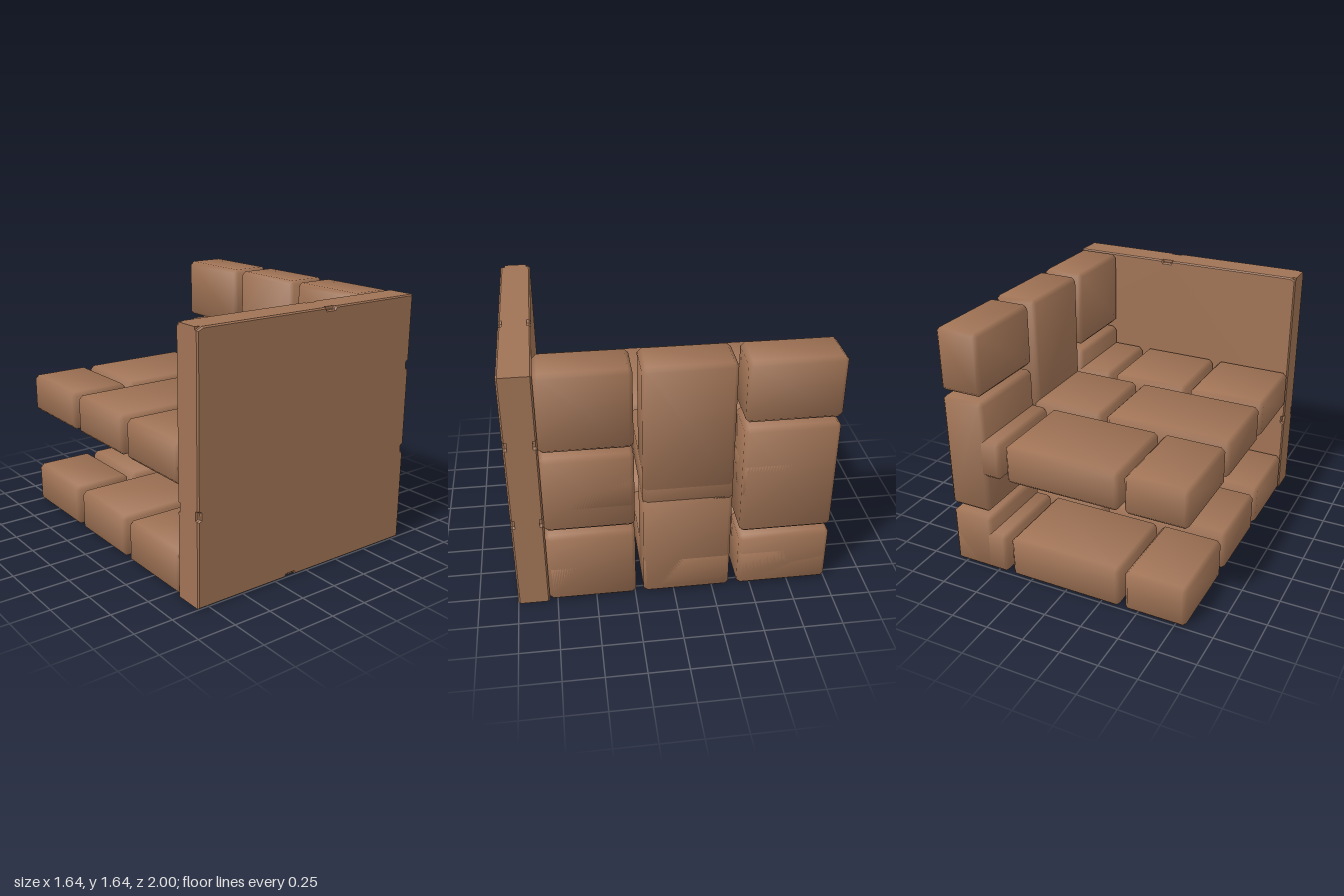
import * as THREE from 'three';
import { ConvexGeometry } from 'three/addons/geometries/ConvexGeometry.js';

const brick = new THREE.MeshStandardMaterial({ color: 0xa07355 });
brick.name = 'brickBrown';

// Chamfered block between two corners, with soft normals that lean over the chamfers
function block(name, x0, x1, y0, y1, z0, z1) {
  const half = [(x1 - x0) / 2, (y1 - y0) / 2, (z1 - z0) / 2];
  const c = 0.025, points = [];
  for (const sx of [-1, 1]) for (const sy of [-1, 1]) for (const sz of [-1, 1]) {
    for (let axis = 0; axis < 3; axis++) {
      const s = [sx, sy, sz];
      points.push(new THREE.Vector3(...s.map((v, i) => v * (half[i] - (i === axis ? 0 : c)))));
    }
  }
  const geo = new ConvexGeometry(points);
  const p = geo.attributes.position, n = new THREE.Vector3();
  for (let i = 0; i < p.count; i++) {
    const v = [p.getX(i), p.getY(i), p.getZ(i)];
    n.set(...v.map((a, k) => Math.sign(a) * (Math.abs(a) > half[k] - c / 2 ? 1 : 0.38))).normalize();
    geo.attributes.normal.setXYZ(i, n.x, n.y, n.z);
  }
  const mesh = new THREE.Mesh(geo, brick);
  mesh.name = name;
  mesh.position.set((x0 + x1) / 2, (y0 + y1) / 2, (z0 + z1) / 2);
  return mesh;
}

// Square outline with small chipped nicks in its edges
function chippedOutline(m) {
  const H = 0.82, top = 1.64, d = 0.018;
  const nickX = (x, y, s, dir) => [[x - dir * 0.04, y], [x - dir * 0.03, y + s * d], [x + dir * 0.03, y + s * d], [x + dir * 0.04, y]];
  const nickY = (x, y, s, dir) => [[x, y - dir * 0.03], [x + s * d, y - dir * 0.02], [x + s * d, y + dir * 0.02], [x, y + dir * 0.03]];
  const pts = [
    [-H, 0], ...nickX(-0.13, 0, 1, 1), [H, 0],
    ...nickY(H, 0.63, -1, 1), ...nickY(H, 1.19, -1, 1), [H, top],
    ...nickX(0.13, top, -1, -1), [-H + 0.035, top], [-H, top - 0.018],
    ...nickY(-H, 0.57, 1, -1),
  ];
  return new THREE.Shape(pts.map(([x, y]) => new THREE.Vector2(m * x, y)));
}

// End slab: solid core with a chipped, bevelled skin on each side
function endSlab() {
  const slab = new THREE.Group();
  slab.name = 'endSlab';
  const core = new THREE.Mesh(new THREE.BoxGeometry(1.64, 1.64, 0.15), brick);
  core.name = 'slabCore';
  core.position.set(0, 0.82, 0.9);
  slab.add(core);
  for (const side of [1, -1]) {
    const skin = new THREE.Mesh(new THREE.ExtrudeGeometry(chippedOutline(side), {
      depth: 0.015, bevelEnabled: true, bevelSegments: 1,
      bevelThickness: 0.01, bevelSize: 0.008, bevelOffset: -0.008,
    }), brick);
    skin.name = side > 0 ? 'slabFrontSkin' : 'slabBackSkin';
    skin.position.z = side > 0 ? 0.975 : 0.825;
    if (side < 0) skin.rotation.y = Math.PI;
    slab.add(skin);
  }
  return slab;
}

export function createModel() {
  const model = new THREE.Group();
  model.name = 'brickCorner';
  model.add(endSlab());

  // Courses of bricks: z range, then brick spans measured from the wall edge
  const courses = [
    { z: [0.245, 0.8], spans: [[0, 0.51], [0.55, 1.08], [1.12, 1.64]] },
    { z: [-0.36, 0.195], spans: [[0, 0.75], [0.79, 1.64]] },
    { z: [-1, -0.415], spans: [[0, 0.393], [0.43, 1.197], [1.233, 1.64]] },
  ];

  const layers = { wall: null, lowerFloor: [0, 0.28], upperFloor: [0.69, 0.95] };
  for (const [name, height] of Object.entries(layers)) {
    const group = new THREE.Group();
    group.name = name;
    for (const { z, spans } of courses) {
      for (const [a, b] of spans) {
        group.add(height
          ? block(name + 'Brick', 0.82 - b, 0.82 - a, ...height, ...z)
          : block('wallBrick', 0.53, 0.82, a, b, ...z));
      }
    }
    model.add(group);
  }
  return model;
}
